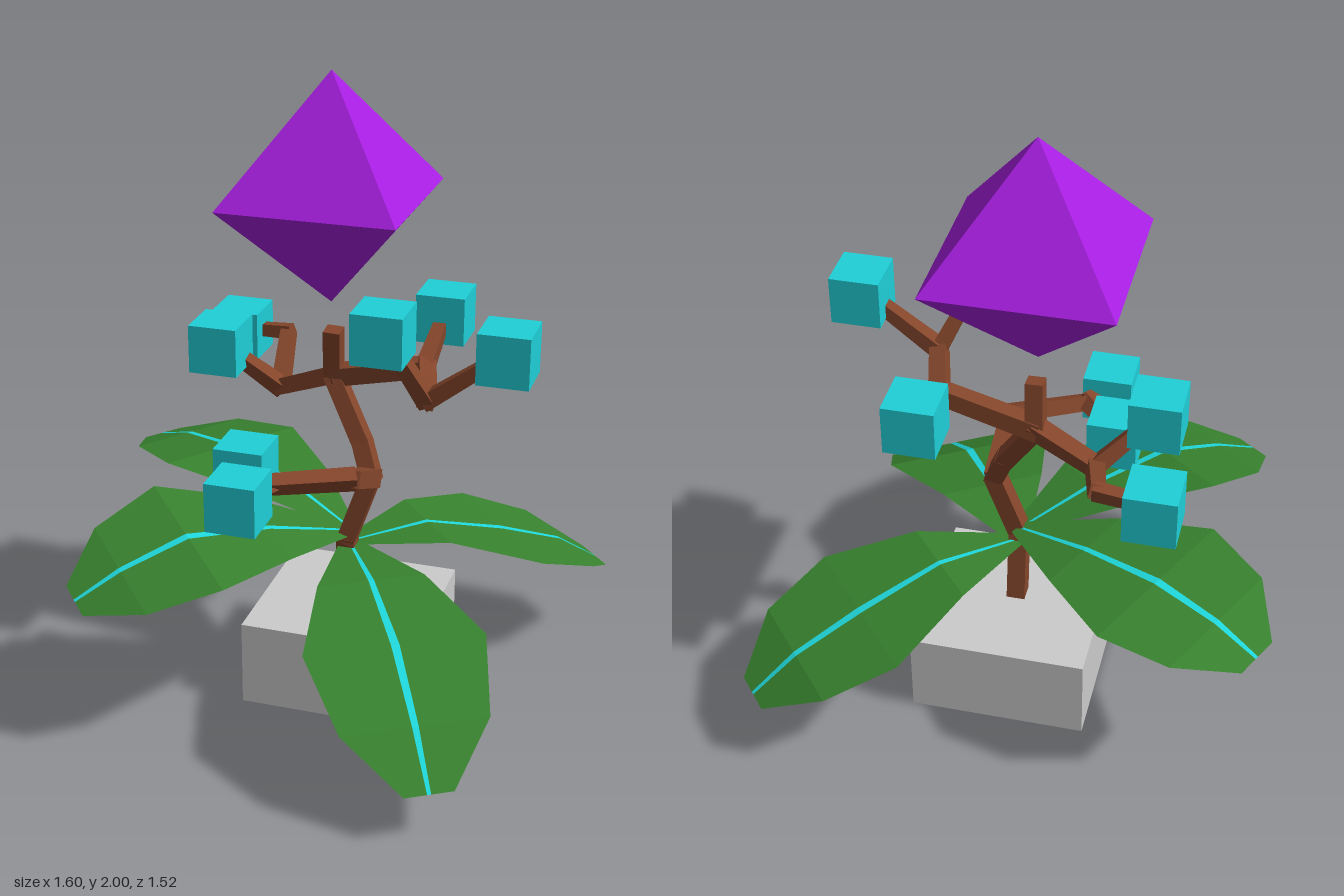
import * as THREE from 'three';

const mat = (color, extra = {}) => new THREE.MeshStandardMaterial({ color, flatShading: true, ...extra });
const stone = mat(0xcccccc);
const bark = mat(0x85462b);
const crystal = mat(0xa81fe2);
const bud = mat(0x1fd0d8);
const leafGreen = mat(0x38822f, { side: THREE.DoubleSide });
const ribCyan = mat(0x1fd8dc, { side: THREE.DoubleSide });

function add(parent, name, geometry, material, x = 0, y = 0, z = 0) {
  const mesh = new THREE.Mesh(geometry, material);
  mesh.name = name;
  mesh.position.set(x, y, z);
  parent.add(mesh);
  return mesh;
}

// Square-section limb that follows a list of points, thinning from r0 to r1
function limb(parent, name, points, r0, r1) {
  const group = new THREE.Group();
  group.name = name;
  const p = points.map(a => new THREE.Vector3(...a));
  const n = p.length - 1;
  for (let i = 0; i < n; i++) {
    const dir = p[i + 1].clone().sub(p[i]);
    const len = dir.length();
    const ra = r0 + (r1 - r0) * i / n;
    const rb = r0 + (r1 - r0) * (i + 1) / n;
    const geo = new THREE.CylinderGeometry(rb, ra, len + 0.02, 4).rotateY(Math.PI / 4);
    const seg = add(group, name + 'Segment', geo, bark);
    seg.position.copy(p[i]).add(p[i + 1]).multiplyScalar(0.5);
    seg.quaternion.setFromUnitVectors(new THREE.Vector3(0, 1, 0), dir.normalize());
  }
  parent.add(group);
}

// Ribbon surface between two rows of points
function ribbon(rowA, rowB) {
  const pos = [...rowA, ...rowB].flat();
  const index = [];
  const n = rowA.length;
  for (let i = 0; i < n - 1; i++) index.push(i, i + 1, n + i, i + 1, n + i + 1, n + i);
  const geo = new THREE.BufferGeometry();
  geo.setAttribute('position', new THREE.Float32BufferAttribute(pos, 3));
  geo.setIndex(index);
  geo.computeVertexNormals();
  return geo;
}

// Leaf: two blades either side of a narrow rib, bending along its length
const STATIONS = [0, 0.3, 0.6, 0.84, 1];
const HALF_WIDTH = [0.03, 0.17, 0.28, 0.225, 0.075];
const RIB_WIDTH = [0.004, 0.009, 0.013, 0.01, 0.006];
function leaf(parent, name, tip, heights, roll) {
  const group = new THREE.Group();
  group.name = name;
  const root = [0.05, -0.08];
  const dx = tip[0] - root[0], dz = tip[1] - root[1];
  const len = Math.hypot(dx, dz);
  const row = (widths, sign) => STATIONS.map((t, i) => {
    const w = sign * widths[i];
    return [root[0] + dx * t - dz / len * w, heights[i] + roll * w, root[1] + dz * t + dx / len * w];
  });
  add(group, 'leafBlade', ribbon(row(HALF_WIDTH, -1), row(RIB_WIDTH, -1)), leafGreen);
  add(group, 'leafRib', ribbon(row(RIB_WIDTH, -1), row(RIB_WIDTH, 1)), ribCyan);
  add(group, 'leafBlade', ribbon(row(RIB_WIDTH, 1), row(HALF_WIDTH, 1)), leafGreen);
  parent.add(group);
}

export function createModel() {
  const model = new THREE.Group();
  model.name = 'crystalPlant';

  // Planter block
  add(model, 'planter', new THREE.BoxGeometry(0.56, 0.28, 0.56), stone, 0.05, 0.14, -0.11);

  // Floating crystal
  const profile = [[0, -0.34], [0.392, 0], [0, 0.38]].map(p => new THREE.Vector2(...p));
  add(model, 'crystal', new THREE.LatheGeometry(profile, 4, Math.PI / 4), crystal, -0.033, 1.62, -0.152);

  // Trunk and branch joints
  const low = [0.125, 0.74, -0.07], top = [-0.03, 1.03, -0.17];
  const lowFork = [-0.1, 0.83, 0.25];
  const rightJoint = [0.27, 1.1, -0.15], rightFork = [0.335, 1.09, 0.08];
  const leftFork = [-0.22, 0.95, -0.21];
  limb(model, 'trunk', [[0.05, 0.27, -0.095], [0.05, 0.52, -0.06], low, [0.085, 0.84, -0.105], top, [-0.025, 1.18, -0.15]], 0.042, 0.038);
  limb(model, 'lowBranch', [low, [0.125, 0.83, 0.14], lowFork], 0.042, 0.034);
  limb(model, 'rightBranch', [top, rightJoint, rightFork], 0.042, 0.036);
  limb(model, 'leftBranch', [top, leftFork], 0.04, 0.036);

  // Twigs, each ending in a cube bud
  const twigs = [
    [rightFork, [0.575, 1.27, 0.083]],
    [rightFork, [0.222, 1.32, 0.165]],
    [rightJoint, [0.27, 1.19, -0.4]],
    [leftFork, [-0.39, 1.11, -0.125]],
    [leftFork, [-0.27, 1.05, -0.44], [-0.437, 1.04, -0.455]],
    [lowFork, [-0.22, 0.82, 0.125]],
    [lowFork, [-0.16, 0.82, 0.36]],
  ];
  for (const path of twigs) {
    limb(model, 'twig', path, 0.036, 0.026);
    add(model, 'bud', new THREE.BoxGeometry(0.157, 0.157, 0.157), bud, ...path[path.length - 1]);
  }

  // Four broad leaves: tip (x, z), rib heights, sideways tilt
  leaf(model, 'frontLeftLeaf', [0.53, 0.72], [0.5, 0.505, 0.44, 0.3, 0.17], 0);
  leaf(model, 'backLeftLeaf', [0.75, -0.69], [0.5, 0.515, 0.435, 0.35, 0.25], 0);
  leaf(model, 'backRightLeaf', [-0.77, -0.52], [0.55, 0.62, 0.655, 0.63, 0.58], -0.08);
  leaf(model, 'frontRightLeaf', [-0.62, 0.55], [0.54, 0.61, 0.64, 0.575, 0.505], 0.17);

  return model;
}
